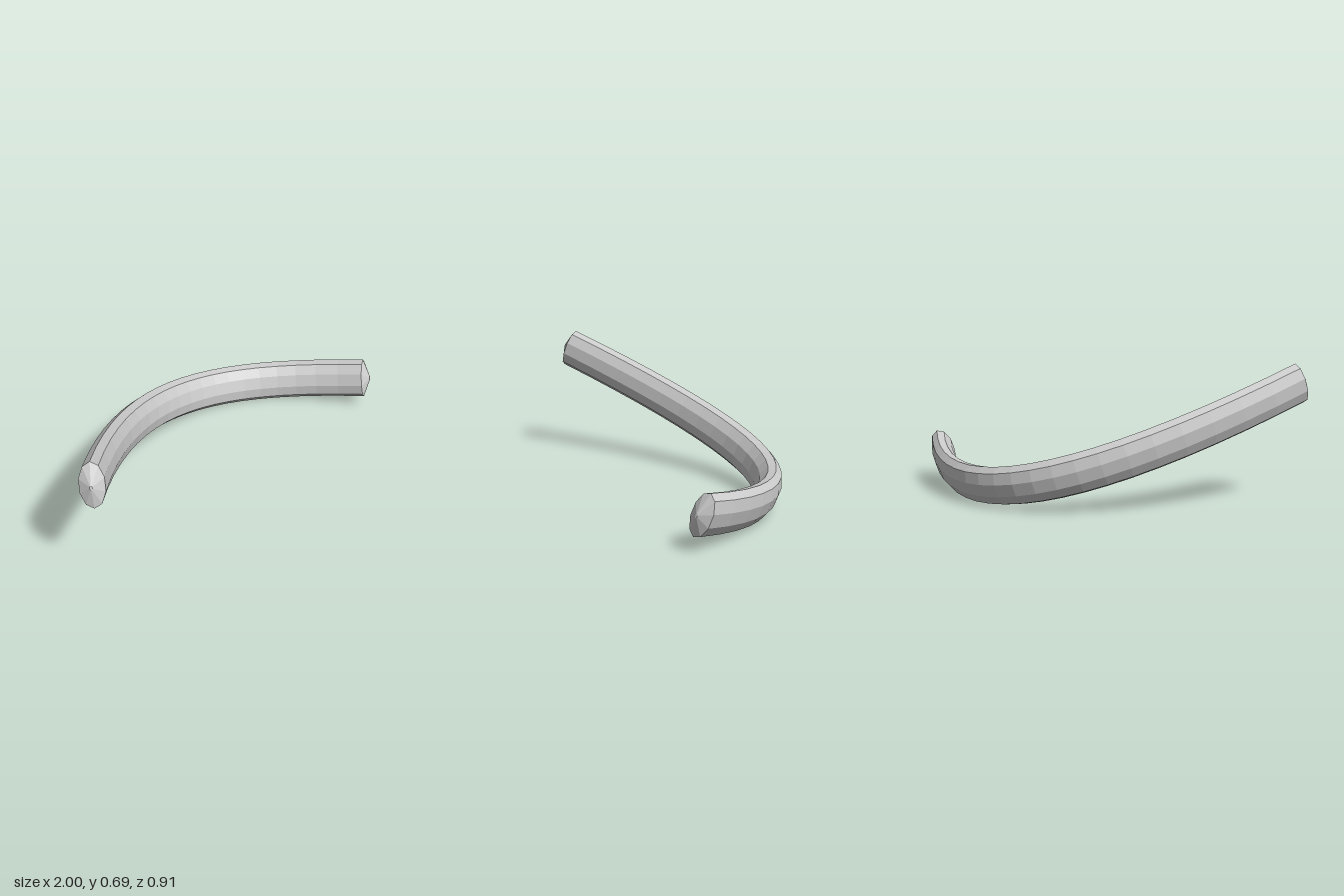
import * as THREE from 'three';

const SIDES = 10, SEGMENTS = 20;
const HALF_HEIGHT = 0.104, HALF_WIDTH = 0.058;
const CAP_LENGTH = 0.035, TIP_SCALE = 0.1;

// Sweep an oval section along a planar curve, closing both ends with shallow cones
function sweptBar(curve, up) {
  const rings = [];
  const addRing = (t, scale, offset) => {
    const tangent = curve.getTangent(t);
    const centre = curve.getPoint(t).addScaledVector(tangent, offset);
    const side = new THREE.Vector3().crossVectors(tangent, up).normalize();
    const ring = [];
    for (let j = 0; j < SIDES; j++) {
      const a = (j / SIDES) * Math.PI * 2;
      ring.push(centre.clone()
        .addScaledVector(up, Math.cos(a) * HALF_HEIGHT * scale)
        .addScaledVector(side, Math.sin(a) * HALF_WIDTH * scale));
    }
    rings.push(ring);
  };

  addRing(0, TIP_SCALE, -CAP_LENGTH);
  for (let i = 0; i <= SEGMENTS; i++) addRing(i / SEGMENTS, 1, 0);
  addRing(1, TIP_SCALE, CAP_LENGTH);

  const index = [];
  for (let i = 0; i < rings.length - 1; i++) {
    for (let j = 0; j < SIDES; j++) {
      const k = (j + 1) % SIDES;
      const a = i * SIDES + j, b = i * SIDES + k;
      const c = b + SIDES, d = a + SIDES;
      index.push(a, b, c, a, c, d);
    }
  }
  // Small flat tips
  const last = (rings.length - 1) * SIDES;
  for (let j = 1; j < SIDES - 1; j++) {
    index.push(0, j + 1, j);
    index.push(last, last + j, last + j + 1);
  }

  const geometry = new THREE.BufferGeometry().setFromPoints(rings.flat());
  geometry.setIndex(index);
  const flat = geometry.toNonIndexed();
  flat.computeVertexNormals();
  return flat;
}

export function createModel() {
  const group = new THREE.Group();
  group.name = 'curvedBar';

  const start = new THREE.Vector3(-0.95, 0.595, 0.41);
  const bend = new THREE.Vector3(0.17, -0.086, -1.026);
  const end = new THREE.Vector3(0.955, 0.17, 0.1);
  const curve = new THREE.QuadraticBezierCurve3(start, bend, end);

  // The tall axis of the section stays square to the plane of the curve
  const up = end.clone().sub(bend).cross(bend.clone().sub(start)).normalize();

  const bar = new THREE.Mesh(
    sweptBar(curve, up),
    new THREE.MeshStandardMaterial({ color: 0xcccccc, flatShading: true })
  );
  bar.name = 'bar';
  group.add(bar);
  return group;
}
